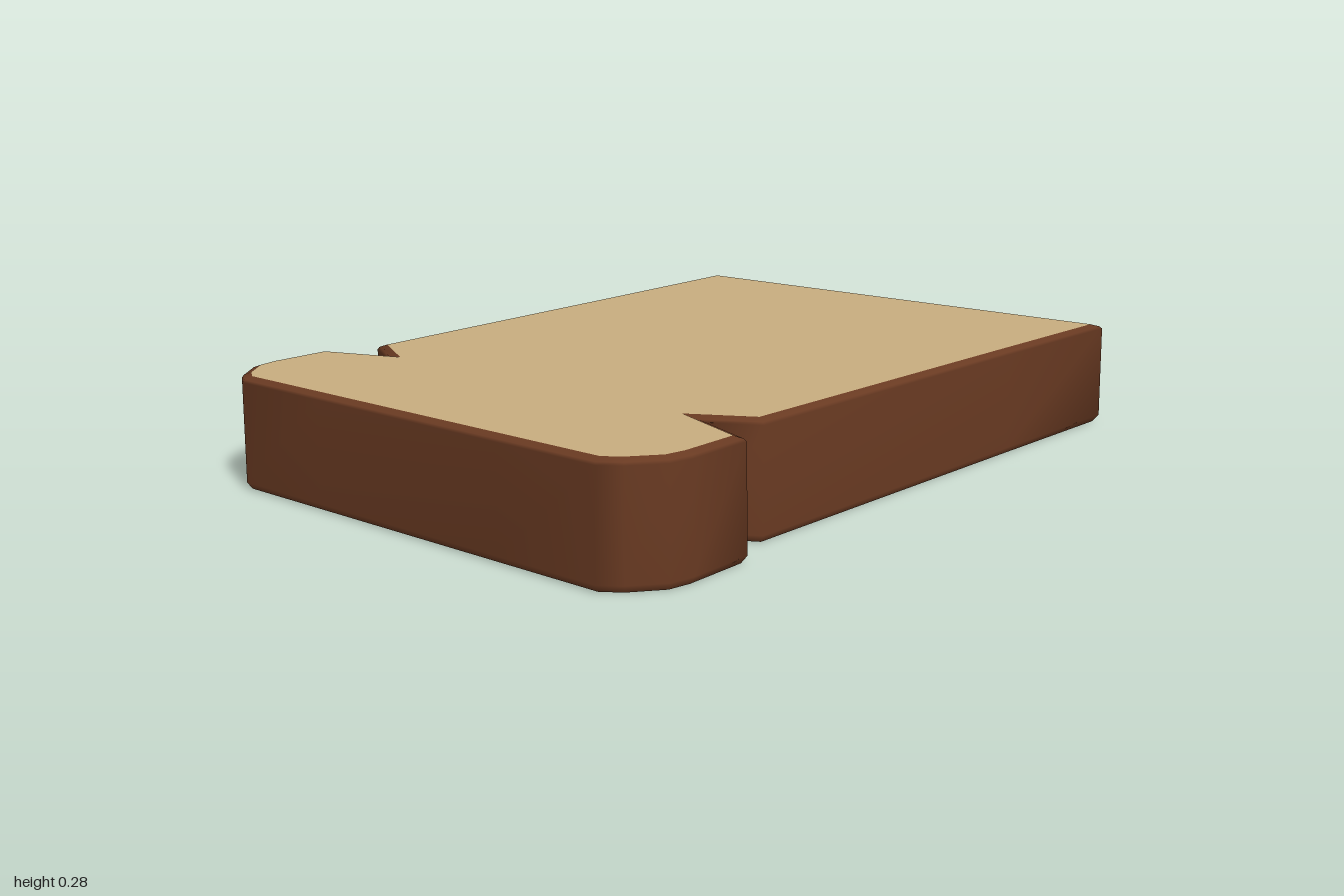
import * as THREE from 'three';

// Half outline of the slice as [x, z], from the domed end to the flat end
const half = [
  [-1, 0.3], [-1, 0.59], [-0.965, 0.64], [-0.89, 0.7], [-0.83, 0.712], [-0.65, 0.712],
  [-0.585, 0.54], [-0.52, 0.655], [0.5, 0.692], [1, 0.712], [1, 0.36],
];
const outline = [...half, ...half.map(([x, z]) => [x, -z]).reverse()]
  .map(([x, z]) => new THREE.Vector2(x, z));

// Crust section from bottom to top: [inset from the outline, height]
const section = [[0.012, 0], [0, 0.018], [0.003, 0.272], [0.008, 0.278], [0.027, 0.285]];

// Moves every corner inward along its mitre
function inset(distance) {
  const n = outline.length;
  return outline.map((p, i) => {
    const inward = (a, b) => new THREE.Vector2(b.y - a.y, a.x - b.x).normalize();
    const n1 = inward(outline[(i + n - 1) % n], p);
    const n2 = inward(p, outline[(i + 1) % n]);
    const mitre = n1.clone().add(n2).multiplyScalar(distance / (1 + n1.dot(n2)));
    return mitre.add(p);
  });
}

// Smooth band joining the rings of the section
function crustGeometry() {
  const n = outline.length;
  const positions = [];
  const indices = [];
  section.forEach(([d, y], r) => {
    inset(d).forEach((p, i) => {
      positions.push(p.x, y, p.y);
      if (r === section.length - 1) return;
      const a = r * n + i;
      const b = r * n + (i + 1) % n;
      indices.push(a, b, b + n, a, b + n, a + n);
    });
  });
  const geometry = new THREE.BufferGeometry();
  geometry.setAttribute('position', new THREE.Float32BufferAttribute(positions, 3));
  geometry.setIndex(indices);
  geometry.computeVertexNormals();
  return geometry;
}

export function createModel() {
  const group = new THREE.Group();
  group.name = 'breadSlice';
  const crustMaterial = new THREE.MeshStandardMaterial({ color: 0x693a22 });
  const crumbMaterial = new THREE.MeshStandardMaterial({ color: 0xc8ad7f });

  const crust = new THREE.Mesh(crustGeometry(), crustMaterial);
  crust.name = 'crust';
  group.add(crust);

  // Flat crumb faces closing the crust above and below
  const addCrumb = (name, [d, y], turn) => {
    const geometry = new THREE.ShapeGeometry(new THREE.Shape(inset(d)));
    const crumb = new THREE.Mesh(geometry.rotateX(turn).translate(0, y, 0), crumbMaterial);
    crumb.name = name;
    group.add(crumb);
  };
  addCrumb('topCrumb', section[section.length - 1], -Math.PI / 2);
  addCrumb('bottomCrumb', section[0], Math.PI / 2);
  return group;
}
